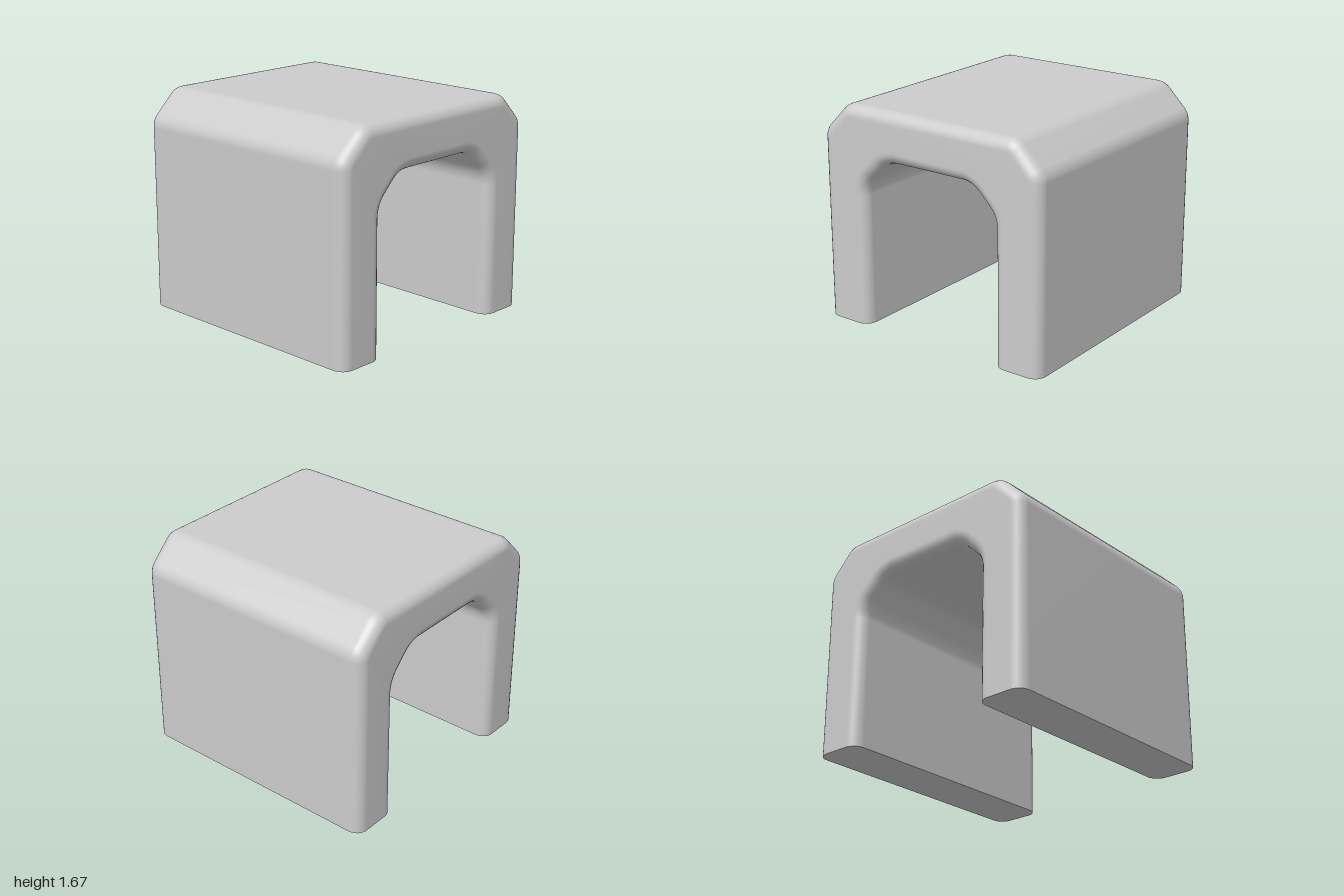
import * as THREE from 'three';

const STEPS = 6;      // segments per rounded corner
const EDGE = 0.09;    // radius of the front and back edges
const HALF_DEPTH = 1;

// Arch line with chamfered, rounded shoulders, offset inward by d.
// w: half width, h: height, c: chamfer size, r: shoulder radius
function archLine(w, h, c, r, d) {
  const t = r * Math.tan(Math.PI / 8);
  const centres = [[w - r, h - c - t], [w - c - t, h - r]];
  const half = [[w - d, 0]];
  centres.forEach(([cx, cy], k) => {
    for (let i = 0; i <= STEPS; i++) {
      const a = (k + i / STEPS) * Math.PI / 4;
      half.push([cx + (r - d) * Math.cos(a), cy + (r - d) * Math.sin(a)]);
    }
  });
  return [...half, ...half.slice().reverse().map(([x, y]) => [-x, y])];
}

const outer = d => archLine(0.965, 1.675, 0.22, 0.14, d);
const inner = d => archLine(0.58, 1.295, 0.2, 0.2, -d);

// One lengthwise line per point of the rounded-rectangle section
function sectionLines() {
  const lines = [];
  for (let q = 0; q < 4; q++) {
    for (let i = 0; i <= STEPS; i++) {
      const a = (q + i / STEPS) * Math.PI / 2;
      const s = q < 2 ? Math.sin(a) : -Math.sin(a);
      const front = q === 0 || q === 3 ? 1 : -1;
      const z = front * (HALF_DEPTH - EDGE) + EDGE * Math.cos(a);
      const line = (q < 2 ? outer : inner)(EDGE * (1 - s));
      lines.push(line.map(([x, y]) => [x, y, z]));
    }
  }
  return lines;
}

function archGeometry() {
  const lines = sectionLines();
  const m = lines.length, n = lines[0].length;
  const pos = [], index = [];
  // Skin swept from one foot over the top to the other
  for (let i = 0; i < n; i++) for (let j = 0; j < m; j++) pos.push(...lines[j][i]);
  for (let i = 0; i < n - 1; i++) {
    for (let j = 0; j < m; j++) {
      const k = (j + 1) % m;
      const a = i * m + j, b = i * m + k;
      index.push(a, b, b + m, a, b + m, a + m);
    }
  }
  // Flat soles with their own corners, so the bottom edge stays sharp
  [0, n - 1].forEach(i => {
    const base = pos.length / 3;
    lines.forEach(line => pos.push(...line[i]));
    for (let j = 1; j < m - 1; j++) {
      if (i === 0) index.push(base, base + j + 1, base + j);
      else index.push(base, base + j, base + j + 1);
    }
  });
  const g = new THREE.BufferGeometry();
  g.setAttribute('position', new THREE.Float32BufferAttribute(pos, 3));
  g.setIndex(index);
  g.computeVertexNormals();
  return g;
}

export function createModel() {
  const group = new THREE.Group();
  group.name = 'archBlock';
  const arch = new THREE.Mesh(archGeometry(), new THREE.MeshStandardMaterial({ color: 0xcccccc }));
  arch.name = 'arch';
  group.add(arch);
  return group;
}
